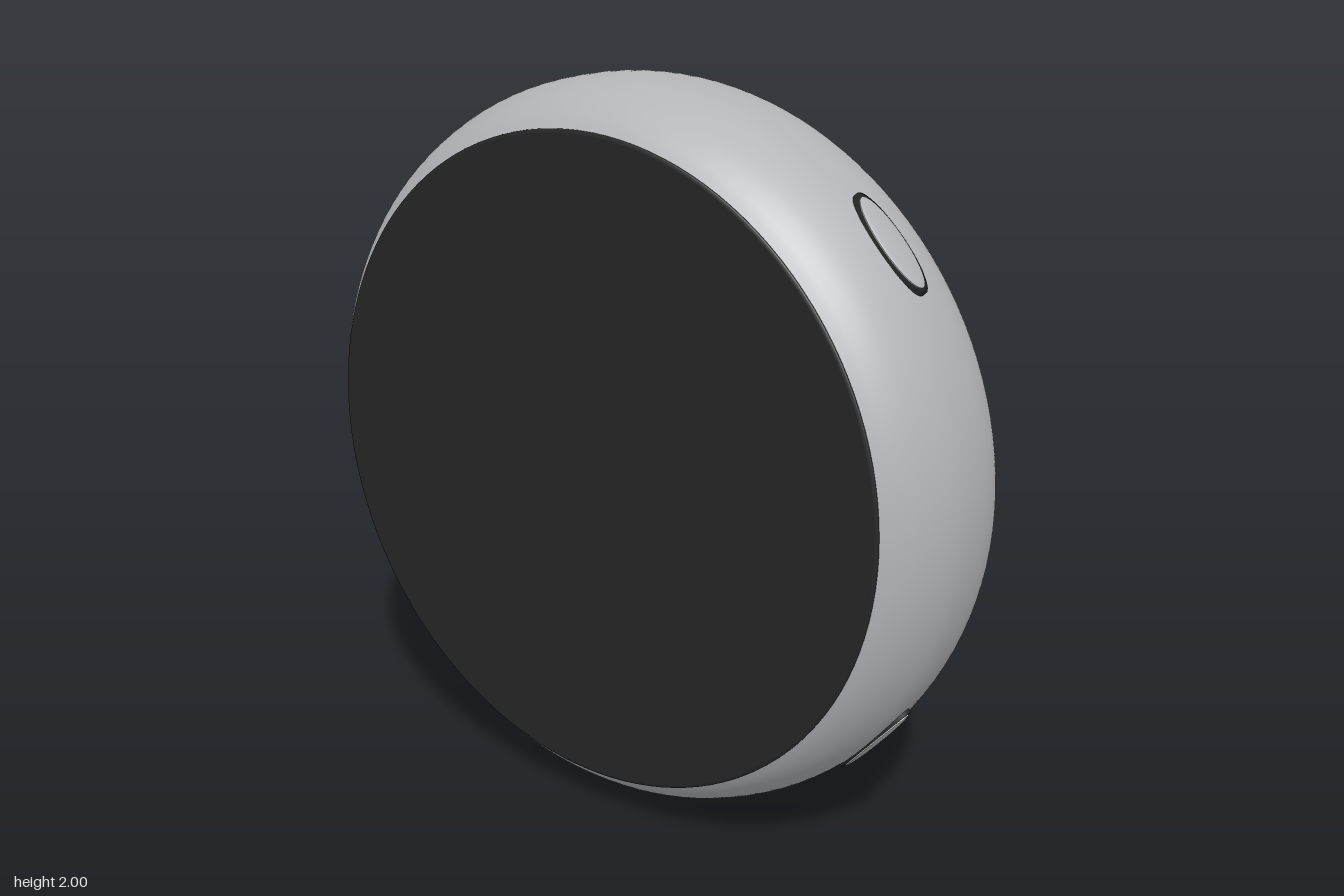
import * as THREE from 'three';

const CY = 1.007; // height of the disc's axis
const R = 0.993; // widest radius of the shell

const mat = (name, color, side = THREE.FrontSide) => {
  const m = new THREE.MeshStandardMaterial({ color, side });
  m.name = name;
  return m;
};

const vecs = (pts) => pts.map(([r, h]) => new THREE.Vector2(r, h));
const smooth = (pts, n = 28) => new THREE.SplineCurve(vecs(pts)).getPoints(n);

export function createModel() {
  const silver = mat('silver', 0xb4b5b9);
  const black = mat('black', 0x262626);
  const grey = mat('grey', 0x77787b);

  const model = new THREE.Group();
  model.name = 'roundDevice';

  const add = (parent, name, geo, material) => {
    const mesh = new THREE.Mesh(geo, material);
    mesh.name = name;
    parent.add(mesh);
    return mesh;
  };

  // Turned parts share the front-to-back axis
  const disc = new THREE.Group();
  disc.name = 'disc';
  disc.position.y = CY;
  model.add(disc);
  const turned = (name, pts, material) =>
    add(disc, name, new THREE.LatheGeometry(pts, 128).rotateX(Math.PI / 2), material);

  // Back cover: flat centre rolling over to the seam
  const cover = smooth([[0.6, -0.27], [0.68, -0.268], [0.76, -0.261], [0.84, -0.245], [0.9, -0.222], [0.948, -0.183]]);
  turned('backCover', [new THREE.Vector2(0, -0.27), new THREE.Vector2(0.3, -0.27), ...cover], silver);
  turned('seam', vecs([[0.948, -0.183], [0.951, -0.178]]), black);

  // Main shell from the seam to the front rim
  turned('shell', smooth([[0.951, -0.178], [0.975, -0.13], [0.989, -0.07], [R, 0], [0.989, 0.07],
    [0.974, 0.13], [0.948, 0.19], [0.915, 0.236], [0.884, 0.263]], 40), silver);

  // Screen with a softly rounded edge
  turned('screenEdge', smooth([[0.884, 0.262], [0.883, 0.267], [0.876, 0.27]], 6), black);
  turned('screen', vecs([[0.876, 0.27], [0, 0.27]]), black);

  // Mount on the rim: local y points outward, local x runs along the rim
  const mount = (name, degrees, z = 0) => {
    const g = new THREE.Group();
    g.name = name;
    g.position.z = z;
    g.rotation.z = THREE.MathUtils.degToRad(degrees - 90);
    disc.add(g);
    return g;
  };
  const oval = (pts, a, b) => new THREE.LatheGeometry(pts, 48).scale(a, 1, b);

  // Two oval side buttons, each with a dark gasket
  for (const [name, angle] of [['upperButton', 42.3], ['lowerButton', -39.8]]) {
    const g = mount(name, angle, 0.015);
    add(g, 'gasket', oval(vecs([[1, 0.95], [1, 0.993], [0.88, 0.993]]), 0.143, 0.057), black);
    add(g, 'buttonSide', oval(vecs([[0.9, 0.97], [0.9, 0.996]]), 0.143, 0.057), silver);
    add(g, 'buttonCap', oval(smooth([[0.9, 0.996], [0.75, 1.0], [0.4, 1.003], [0, 1.004]], 12), 0.143, 0.057), silver);
  }

  // Microphone holes
  for (const angle of [151, 177, 187.2, 244]) {
    const hole = add(mount('microphone', angle), 'microphoneHole',
      new THREE.CylinderGeometry(0.029, 0.029, 0.008, 20), black);
    hole.position.y = 0.9915;
  }

  // Charging port underneath: raised collar, dark well and a contact tongue
  const port = mount('chargingPort', -90);
  const stadium = (Type, halfLength, halfWidth) => {
    const s = new Type();
    const c = halfLength - halfWidth;
    s.absarc(c, 0, halfWidth, -Math.PI / 2, Math.PI / 2, false);
    s.absarc(-c, 0, halfWidth, Math.PI / 2, Math.PI * 1.5, false);
    s.closePath();
    return s;
  };
  const plate = (name, shape, top, depth, material) => {
    const geo = new THREE.ExtrudeGeometry(shape, { depth, bevelEnabled: false, curveSegments: 16 });
    geo.rotateX(-Math.PI / 2).translate(0, top - depth, 0);
    return add(port, name, geo, material);
  };
  const collar = stadium(THREE.Shape, 0.18, 0.06);
  collar.holes.push(stadium(THREE.Path, 0.158, 0.042));
  plate('portCollar', collar, CY, 0.05, silver);
  plate('portWell', stadium(THREE.Shape, 0.159, 0.043), 0.998, 0.008, black);
  plate('portTongue', stadium(THREE.Shape, 0.115, 0.008), 1.003, 0.008, grey);

  return model;
}
